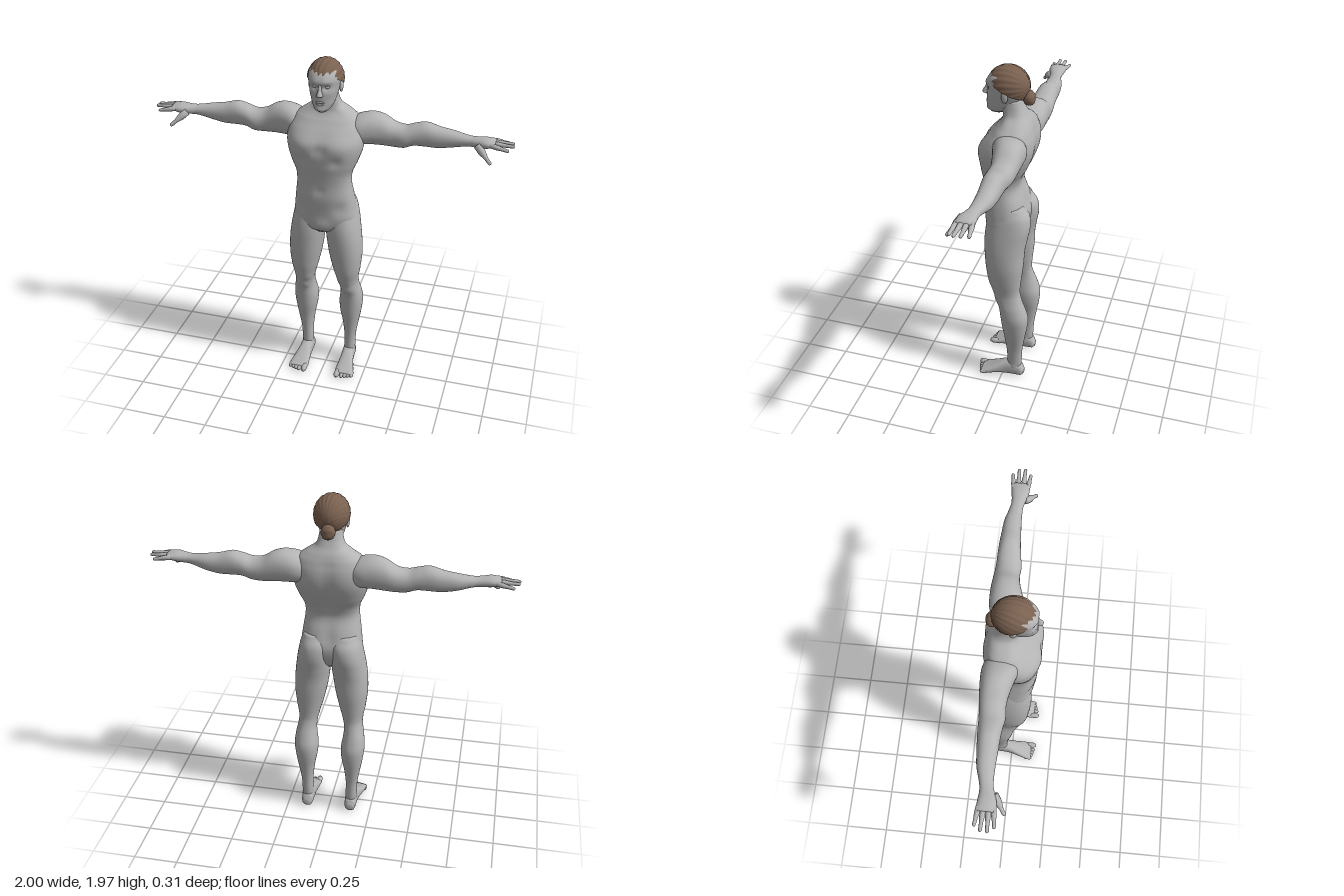
import * as THREE from 'three';

const skin = new THREE.MeshStandardMaterial({ color: 0xb4b4b4 });
skin.name = 'grey skin';
const hairBrown = new THREE.MeshStandardMaterial({ color: 0x7a6150, side: THREE.DoubleSide });
hairBrown.name = 'brown hair';

// Catmull-Rom blend of whole rows, so a few sections give a smooth body
function blendRows(rows, steps) {
  const out = [], n = rows.length;
  for (let i = 0; i < n - 1; i++) {
    const [p, q, r, s] = [rows[Math.max(i - 1, 0)], rows[i], rows[i + 1], rows[Math.min(i + 2, n - 1)]];
    for (let k = 0; k < steps; k++) {
      const t = k / steps;
      out.push(q.map((v, j) => j === 0 ? v + (r[0] - v) * t
        : 0.5 * (2 * v + (r[j] - p[j]) * t + (2 * p[j] - 5 * v + 4 * r[j] - s[j]) * t * t
          + (3 * v - p[j] - 3 * r[j] + s[j]) * t * t * t)));
    }
  }
  out.push(rows[n - 1]);
  return out;
}

// Closed body through rounded sections [t, a0, a1, b0, b1] along an axis.
// Bumps [x, y, z, radius, amount] swell or sink the surface, alike on both sides.
function loft(axis, rows, { segs = 32, steps = 4, power = 0.9, bumps = [] } = {}) {
  const place = { x: (t, a, b) => [t, a, b], y: (t, a, b) => [a, t, b], z: (t, a, b) => [a, b, t] }[axis];
  const soft = v => Math.sign(v) * Math.abs(v) ** power;
  const pos = [], idx = [], list = blendRows(rows, steps);
  const tri = (a, b, c) => axis === 'y' ? idx.push(a, b, c) : idx.push(a, c, b);
  for (const [t, a0, a1, b0, b1] of list) {
    const ca = (a0 + a1) / 2, cb = (b0 + b1) / 2;
    for (let i = 0; i < segs; i++) {
      const u = i / segs * Math.PI * 2;
      let da = soft(Math.cos(u)) * (a1 - a0) / 2, db = soft(Math.sin(u)) * (b1 - b0) / 2;
      const [x, y, z] = place(t, ca + da, cb + db);
      let push = 0;
      for (const [bx, by, bz, r, amount] of bumps)
        push += amount * Math.exp(-((Math.abs(x) - bx) ** 2 + (y - by) ** 2 + (z - bz) ** 2) / (r * r));
      const k = 1 + push / (Math.hypot(da, db) || 1);
      pos.push(...place(t, ca + da * k, cb + db * k));
    }
  }
  for (let j = 0; j < list.length - 1; j++)
    for (let i = 0; i < segs; i++) {
      const a = j * segs + i, b = j * segs + (i + 1) % segs;
      tri(a, a + segs, b);
      tri(b, a + segs, b + segs);
    }
  // End caps
  const top = (list.length - 1) * segs, c0 = pos.length / 3;
  for (const [t, a0, a1, b0, b1] of [list[0], list[list.length - 1]])
    pos.push(...place(t, (a0 + a1) / 2, (b0 + b1) / 2));
  for (let i = 0; i < segs; i++) {
    const n = (i + 1) % segs;
    tri(c0, i, n);
    tri(c0 + 1, top + n, top + i);
  }
  return finish(pos, idx);
}

function finish(pos, idx) {
  const g = new THREE.BufferGeometry();
  g.setAttribute('position', new THREE.Float32BufferAttribute(pos, 3));
  g.setIndex(idx);
  g.computeVertexNormals();
  return g;
}

// Tapered round-tipped digit from a to b
function digit(a, b, r0, r1) {
  const from = new THREE.Vector3(...a), dir = new THREE.Vector3(...b).sub(from), L = dir.length();
  const profile = [[0, 0], [r0, 0], [r0, L * 0.35], [r1 * 1.08, L * 0.65], [r1, L - r1], [r1 * 0.7, L - r1 * 0.3], [0, L]];
  const g = new THREE.LatheGeometry(profile.map(p => new THREE.Vector2(...p)), 12);
  g.applyQuaternion(new THREE.Quaternion().setFromUnitVectors(new THREE.Vector3(0, 1, 0), dir.normalize()));
  return g.translate(...a);
}

const ball = (c, r) => new THREE.SphereGeometry(1, 20, 14).scale(...r).translate(...c);

function mirrored(geometry) {
  const g = geometry.clone().scale(-1, 1, 1), ix = g.index;
  for (let i = 0; i < ix.count; i += 3) {
    const k = ix.getX(i);
    ix.setX(i, ix.getX(i + 1));
    ix.setX(i + 1, k);
  }
  return g;
}

// Hair cap with a sloping hairline and strands swept back to the bun
function hairCap() {
  const pos = [], idx = [], nu = 96, nv = 32;
  for (let j = 0; j <= nv; j++)
    for (let i = 0; i < nu; i++) {
      const u = i / nu * Math.PI * 2;
      const end = Math.acos((1.848 + 0.057 * Math.cos(u) - 1.86) / 0.108), v = end * j / nv;
      const x = Math.sin(v) * Math.sin(u), y = Math.cos(v), z = Math.sin(v) * Math.cos(u);
      const k = 1 + 0.014 * Math.sin(26 * Math.atan2(x, y * 0.9 + z * 0.35 + 0.35) + 5 * z);
      pos.push(0.097 * x * k, 1.86 + 0.108 * y * k, 0.003 + 0.114 * z * k);
    }
  for (let j = 0; j < nv; j++)
    for (let i = 0; i < nu; i++) {
      const a = j * nu + i, b = j * nu + (i + 1) % nu;
      idx.push(a, a + nu, b, b, a + nu, b + nu);
    }
  return finish(pos, idx);
}

export function createModel() {
  const model = new THREE.Group();
  model.name = 'figure';
  const add = (name, geometry, material = skin) => {
    const m = new THREE.Mesh(geometry, material);
    m.name = name;
    model.add(m);
  };
  const pair = (name, geometry, material) => {
    add('left' + name, geometry, material);
    add('right' + name, mirrored(geometry), material);
  };
  const even = rows => rows.map(([y, w, back, front]) => [y, -w, w, back, front]);

  // Torso and neck, with chest, ribs, belly and spine modelling
  const bumps = [[0.09, 1.53, 0.13, 0.07, 0.012], [0.09, 1.435, 0.14, 0.03, -0.009], [0, 1.5, 0.14, 0.03, -0.01],
    [0, 1.25, 0.13, 0.02, -0.006], [0.11, 1.14, 0.1, 0.04, -0.008], [0, 1.03, 0.12, 0.04, 0.012],
    [0.1, 1.53, -0.15, 0.07, 0.007], [0.06, 1.68, 0.02, 0.03, -0.005]];
  for (let y = 1.16; y < 1.62; y += 0.05) bumps.push([0, y, -0.12, 0.035, -0.009]);
  add('torso', loft('y', even([
    [0.97, 0.05, -0.06, 0.08], [1.0, 0.12, -0.09, 0.108], [1.05, 0.172, -0.115, 0.118], [1.12, 0.17, -0.12, 0.125],
    [1.2, 0.16, -0.1, 0.132], [1.28, 0.15, -0.073, 0.13], [1.34, 0.155, -0.085, 0.135], [1.4, 0.18, -0.115, 0.143],
    [1.47, 0.203, -0.14, 0.147], [1.53, 0.21, -0.15, 0.138], [1.59, 0.2, -0.15, 0.1], [1.64, 0.17, -0.138, 0.06],
    [1.675, 0.125, -0.122, 0.035], [1.705, 0.082, -0.102, 0.03], [1.74, 0.066, -0.085, 0.035], [1.79, 0.06, -0.07, 0.05],
  ]), { segs: 64, steps: 5, power: 0.8, bumps }));

  // Legs, including the seat
  pair('Leg', loft('y', [
    [0.05, 0.105, 0.16, -0.11, -0.03], [0.1, 0.1, 0.165, -0.115, -0.03], [0.2, 0.1, 0.17, -0.12, -0.025],
    [0.3, 0.088, 0.187, -0.135, -0.012], [0.38, 0.073, 0.2, -0.148, 0.002], [0.45, 0.07, 0.207, -0.15, 0.01],
    [0.52, 0.08, 0.2, -0.13, 0.02], [0.57, 0.082, 0.19, -0.112, 0.04], [0.62, 0.072, 0.187, -0.1, 0.058],
    [0.7, 0.05, 0.2, -0.105, 0.085], [0.8, 0.027, 0.21, -0.115, 0.1], [0.9, 0.012, 0.207, -0.12, 0.108],
    [0.98, 0.003, 0.197, -0.133, 0.11], [1.05, 0, 0.185, -0.145, 0.103], [1.12, 0, 0.17, -0.138, 0.088],
    [1.18, 0.02, 0.15, -0.1, 0.06],
  ], { segs: 40, bumps: [[0.13, 0.56, 0.04, 0.03, 0.007], [0.1, 0.63, 0.05, 0.03, 0.006], [0.1, 0.07, -0.07, 0.018, 0.007], [0.16, 0.07, -0.07, 0.018, 0.007]] }));

  // Feet and toes
  pair('Foot', loft('z', [
    [-0.13, 0.115, 0.15, 0.015, 0.05], [-0.115, 0.1, 0.163, 0.002, 0.08], [-0.06, 0.095, 0.168, 0, 0.105],
    [-0.01, 0.095, 0.172, 0, 0.092], [0.05, 0.09, 0.187, 0, 0.062], [0.1, 0.086, 0.198, 0, 0.038], [0.125, 0.09, 0.195, 0.004, 0.028],
  ], { power: 0.8 }));
  for (let i = 0; i < 5; i++) {
    const r = i ? 0.011 : 0.016, x = i ? 0.114 + i * 0.019 : 0.103;
    pair('Toe' + (i + 1), digit([x, 0.017, 0.09], [x, r, 0.157 - i * 0.006], r, r));
  }

  // Arms, running through to the palm
  pair('Arm', loft('x', [
    [0.1, 1.51, 1.62, -0.12, 0.02], [0.17, 1.49, 1.652, -0.145, 0.04], [0.24, 1.49, 1.667, -0.148, 0.022],
    [0.3, 1.487, 1.655, -0.145, 0.005], [0.36, 1.485, 1.62, -0.14, -0.004], [0.42, 1.488, 1.61, -0.135, 0],
    [0.47, 1.505, 1.625, -0.133, -0.008], [0.53, 1.505, 1.638, -0.13, -0.015], [0.6, 1.505, 1.62, -0.125, -0.02],
    [0.68, 1.52, 1.607, -0.117, -0.025], [0.76, 1.54, 1.595, -0.095, -0.025], [0.8, 1.543, 1.596, -0.09, -0.015],
    [0.85, 1.547, 1.6, -0.095, 0], [0.9, 1.56, 1.592, -0.098, -0.002],
  ], { segs: 36 }));

  // Fingers and thumb
  const fingers = [[-0.012, 0, 0.975, 1.56], [-0.036, -0.032, 1.0, 1.575], [-0.061, -0.066, 0.997, 1.575], [-0.085, -0.099, 0.972, 1.562]];
  fingers.forEach(([z0, z1, x, y], i) => pair('Finger' + (i + 1), digit([0.875, 1.577, z0], [x, y, z1], 0.0135, 0.009)));
  pair('Thumb', digit([0.81, 1.565, -0.015], [0.892, 1.493, 0.042], 0.02, 0.01));

  // Head with brow, eye sockets, cheeks and chin
  add('head', loft('y', even([
    [1.705, 0.025, 0.03, 0.1], [1.72, 0.043, 0, 0.115], [1.75, 0.06, -0.04, 0.118], [1.8, 0.073, -0.072, 0.119],
    [1.84, 0.081, -0.09, 0.118], [1.88, 0.086, -0.095, 0.12], [1.92, 0.077, -0.08, 0.096], [1.95, 0.045, -0.03, 0.045],
  ]), { segs: 64, steps: 6, bumps: [[0.033, 1.848, 0.11, 0.019, -0.013], [0.03, 1.87, 0.115, 0.018, 0.005],
    [0.05, 1.815, 0.09, 0.025, 0.004], [0, 1.725, 0.115, 0.02, 0.007], [0, 1.74, 0.118, 0.012, -0.004]] }));
  add('nose', loft('y', even([
    [1.797, 0.01, 0.1, 0.128], [1.804, 0.017, 0.1, 0.144], [1.815, 0.014, 0.1, 0.144], [1.835, 0.009, 0.1, 0.132], [1.866, 0.009, 0.1, 0.121],
  ]), { segs: 20 }));
  add('upperLip', ball([0, 1.766, 0.115], [0.024, 0.006, 0.009]));
  add('lowerLip', ball([0, 1.756, 0.113], [0.021, 0.007, 0.01]));
  pair('Eye', ball([0.033, 1.847, 0.094], [0.015, 0.009, 0.012]));
  pair('Ear', ball([0.084, 1.825, 0.002], [0.01, 0.034, 0.018]).rotateX(0));

  // Swept-back hair and bun
  add('hair', hairCap(), hairBrown);
  const bun = loft('y', [
    [1.762, -0.012, 0.012, -0.122, -0.098], [1.77, -0.028, 0.028, -0.133, -0.084], [1.79, -0.038, 0.038, -0.14, -0.075],
    [1.815, -0.036, 0.036, -0.138, -0.07], [1.835, -0.025, 0.025, -0.125, -0.07], [1.845, -0.01, 0.01, -0.112, -0.08],
  ], { segs: 28, bumps: [[0.015, 1.8, -0.138, 0.012, -0.004], [0.03, 1.785, -0.12, 0.01, -0.004]] });
  add('hairBun', bun, hairBrown);
  return model;
}
